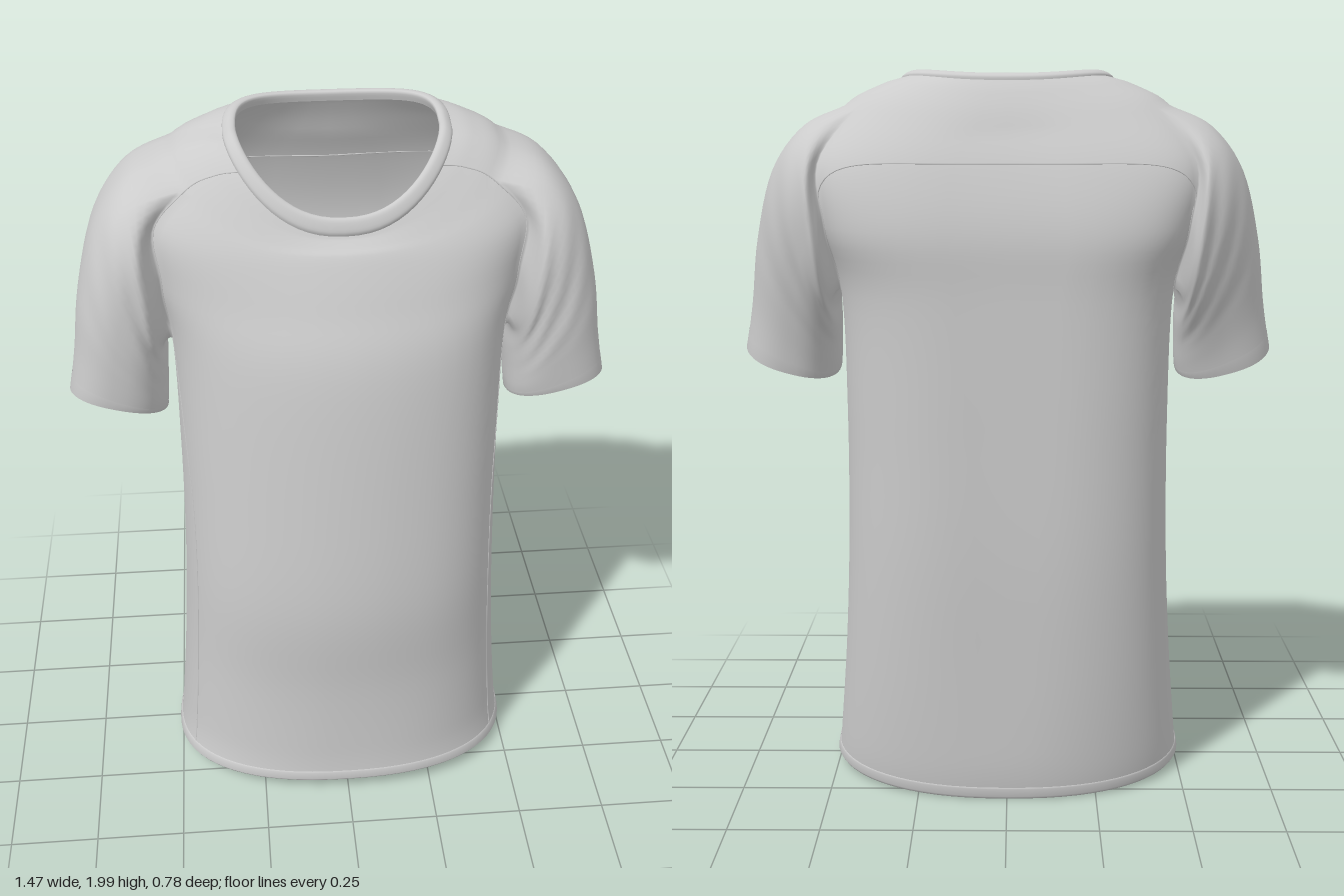
import * as THREE from 'three';

const COLS = 72, SUB = 6, ARM = 6;          // columns round the body, rows per key, half width of armhole
const ARM_LOW = 5, ARM_TOP = 8;             // key rows where the armhole starts and ends

// Body sections: y front, y side, y back, half width, z front, z back, z side, rear lift, rear squareness
const BODY = [
  [0.055, 0.032, 0.008, 0.503, 0.372, -0.312, 0.03, 0, 2.3],
  [0.15, 0.13, 0.11, 0.492, 0.366, -0.328, 0.01, 0, 2.4],
  [0.4, 0.39, 0.38, 0.47, 0.362, -0.352, 0, 0, 2.7],
  [0.7, 0.7, 0.7, 0.453, 0.376, -0.375, -0.01, 0, 2.9],
  [1.05, 1.07, 1.05, 0.446, 0.347, -0.385, -0.03, 0, 3],
  [1.4, 1.42, 1.4, 0.453, 0.304, -0.39, -0.05, 0, 3.2],
  [1.57, 1.6, 1.58, 0.5, 0.248, -0.392, -0.07, 0, 3.9],
  [1.68, 1.77, 1.74, 0.53, 0.205, -0.355, -0.08, 0, 3.6],
  [1.72, 1.898, 1.865, 0.435, 0.183, -0.3, -0.08, 0.01, 2.7],
  [1.738, 1.937, 1.935, 0.35, 0.172, -0.262, -0.055, 0.02, 2.4],
  [1.747, 1.945, 1.965, 0.29, 0.167, -0.242, -0.035, 0.025, 2.4],
];
const COLLAR = [
  [1.743, 1.943, 1.962, 0.291, 0.168, -0.243, -0.035, 0.025, 2.4],
  [1.757, 1.955, 1.974, 0.289, 0.172, -0.242, -0.035, 0.022, 2.4],
  [1.784, 1.967, 1.982, 0.272, 0.164, -0.228, -0.035, 0.02, 2.4],
  [1.788, 1.962, 1.978, 0.257, 0.152, -0.212, -0.035, 0.02, 2.4],
  [1.765, 1.94, 1.955, 0.264, 0.149, -0.216, -0.035, 0.02, 2.4],
];
// Sleeve sections: outer x, outer y, inner x, inner y, z front, z back, tilt of the front
const SLEEVE = [
  [0.545, 1.85, 0.468, 1.37, 0.165, -0.325, 0],
  [0.635, 1.735, 0.466, 1.315, 0.162, -0.28, 0.005],
  [0.688, 1.55, 0.468, 1.26, 0.157, -0.215, 0.01],
  [0.712, 1.38, 0.47, 1.21, 0.148, -0.17, 0.024],
  [0.735, 1.25, 0.474, 1.18, 0.14, -0.147, 0.034],
];

// Smooth interpolation through a list of equal-length arrays
function smooth(list, t) {
  const i = Math.min(Math.floor(t), list.length - 2), f = t - i;
  const at = (k) => list[Math.max(0, Math.min(list.length - 1, k))];
  const a = at(i - 1), b = at(i), c = at(i + 1), d = at(i + 2);
  return b.map((v, n) => v + 0.5 * f * (c[n] - a[n]
    + f * (2 * a[n] - 5 * v + 4 * c[n] - d[n] + f * (3 * (v - c[n]) + d[n] - a[n]))));
}

const signedPow = (v, e) => (Math.abs(v) < 1e-9 ? 0 : Math.sign(v) * Math.abs(v) ** e);

// Point on a body section; pinch draws the columns toward the side
function ringPoint([yf, ys, yb, hw, zf, zb, zc, lift, nb], col, pinch = 0) {
  const turn = (col / COLS) * Math.PI * 2, th = turn - pinch * 0.5 * Math.sin(2 * turn);
  const full = Math.max(0, Math.min(1, (nb - 2.4) / 0.6));
  const s = Math.sin(th), front = s >= 0, e = 2 / (front ? 2.3 + 0.3 * full : nb);
  const a = Math.abs(signedPow(s, e)), x = hw * signedPow(Math.cos(th), e);
  const y = ys + ((front ? yf : yb) - ys) * a ** (front ? 2 : 1.6) + (front ? 0 : lift * 4 * a * (1 - a));
  // slight ridge down the middle of the front, hollow down the spine
  const ridge = 0.013 * full * a * Math.exp(-((x / 0.14) ** 2));
  return [x, y, zc + ((front ? zf : zb) - zc) * a + ridge];
}

// Body surface: the armhole narrows to a point under the arm
const bodyPoint = (t, col) =>
  ringPoint(smooth(BODY, t), col, 0.65 * Math.exp(-(((t - ARM_LOW) / 0.9) ** 2)));

const ringOf = (key) => Array.from({ length: COLS }, (_, j) => ringPoint(key, j));

function sleevePoint([ox, oy, ix, iy, zf, zb, tilt], phi, side, scale = 1) {
  const c = signedPow(Math.cos(phi), 0.84) * scale, s = signedPow(Math.sin(phi), 0.84) * scale;
  return [side * ((ox + ix) / 2 + (ox - ix) / 2 * c),
    (oy + iy) / 2 + (oy - iy) / 2 * c + tilt * s,
    (zf + zb) / 2 + (zf - zb) / 2 * s];
}

function meshFrom(name, points, index) {
  const g = new THREE.BufferGeometry();
  g.setAttribute('position', new THREE.Float32BufferAttribute(points.flat(), 3));
  g.setIndex(index);
  g.computeVertexNormals();
  const m = new THREE.Mesh(g, new THREE.MeshStandardMaterial({ color: 0xcccccc, side: THREE.DoubleSide }));
  m.name = name;
  return m;
}

function quad(index, a, b, c, d, flip) {
  if (flip) index.push(a, c, b, b, c, d);
  else index.push(a, b, c, b, d, c);
}

// Closed rings joined into a band
function band(name, rings, flip) {
  const n = rings[0].length, index = [];
  for (let i = 0; i < rings.length - 1; i++) for (let j = 0; j < n; j++) {
    const k = (j + 1) % n;
    quad(index, i * n + j, i * n + k, (i + 1) * n + j, (i + 1) * n + k, flip);
  }
  return meshFrom(name, rings.flat(), index);
}

function seam(name, pts) {
  const curve = new THREE.CatmullRomCurve3(pts.map((p) => new THREE.Vector3(...p)));
  const m = new THREE.Mesh(new THREE.TubeGeometry(curve, pts.length * 2, 0.002, 5),
    new THREE.MeshStandardMaterial({ color: 0xcccccc }));
  m.name = name;
  return m;
}

export function createModel() {
  const shirt = new THREE.Group();
  shirt.name = 'tShirt';

  // Body cloth with an armhole left open on each side
  const points = [], index = [], rows = (BODY.length - 1) * SUB;
  const low = ARM_LOW * SUB, top = ARM_TOP * SUB;
  for (let i = 0; i <= rows; i++) for (let j = 0; j < COLS; j++) points.push(bodyPoint(i / SUB, j));
  const id = (i, j) => i * COLS + ((j % COLS) + COLS) % COLS;
  for (let i = 0; i < rows; i++) for (let j = 0; j < COLS; j++) {
    const fromSide = Math.abs(((j + 0.5 + COLS / 4) % (COLS / 2)) - COLS / 4);
    if (i >= low && i < top && fromSide < ARM) continue;
    quad(index, id(i, j), id(i, j + 1), id(i + 1, j), id(i + 1, j + 1), true);
  }

  // Sleeves grow out of the armhole edges, following the slope of the cloth beside each edge
  for (const side of [1, -1]) {
    const col = (c) => (side > 0 ? c : COLS / 2 - c);
    const half = (dir) => {
      const loop = [];
      const add = (i, c, di, dc) => loop.push({ v: id(i, col(dir * c)), beside: id(i + di, col(dir * (c + dc))) });
      for (let c = 0; c < ARM; c++) add(top, c, 5, 0);
      add(top, ARM, 3, 1);
      for (let i = top - 1; i > low; i--) add(i, ARM, 0, 2);
      for (let c = ARM; c >= 0; c--) add(low, c, -2, 0);
      let len = 0;
      const run = loop.map(({ v }, k) => (k ? (len += Math.hypot(...points[v].map((p, n) => p - points[loop[k - 1].v][n]))) : 0));
      return loop.map((l, k) => ({ ...l, phi: dir * Math.PI * run[k] / len }));
    };
    const loop = [...half(1), ...half(-1).reverse().slice(1, -1)];
    const n = loop.length, steps = SLEEVE.length * 6;
    let prev = loop.map((l) => l.v);
    for (let i = 1; i <= steps; i++) {
      const t = i / steps * SLEEVE.length;
      const ring = loop.map(({ v, beside, phi }) => {
        const p = smooth([points[beside], points[v], ...SLEEVE.map((k) => sleevePoint(k, phi, side))], t + 1);
        // soft gathers under the arm, fading toward the cuff
        const fold = 0.005 * Math.sin(t * 7 + Math.cos(phi) * 5) * Math.sin(phi) ** 2 * Math.sin(Math.PI * Math.min(1, t / 3.5));
        p[2] += fold * Math.sign(Math.sin(phi));
        return points.push(p) - 1;
      });
      for (let j = 0; j < n; j++) {
        const k = (j + 1) % n;
        quad(index, prev[j], prev[k], ring[j], ring[k], side < 0);
      }
      prev = ring;
    }

    // Turned cuff
    const cuff = [[3.55, 1.005], [3.98, 1.01], [4, 0.985], [3.6, 0.97]].map(([t, s]) =>
      Array.from({ length: 48 }, (_, j) => sleevePoint(smooth(SLEEVE, t), j / 24 * Math.PI, side, s)));
    shirt.add(band(side > 0 ? 'leftCuff' : 'rightCuff', cuff, side < 0));

    // Raglan seam at the front, side panel seam below the arm
    const line = (c, from, to) => Array.from({ length: to - from + 1 }, (_, k) => points[id(from + k, col(c))]);
    shirt.add(seam('frontSeam', line(ARM, low, rows)));
    shirt.add(seam('sideSeam', line(5, 2, low)));
  }
  shirt.add(meshFrom('bodyAndSleeves', points, index));

  // Arched yoke seam across the back, running down behind each arm
  const first = COLS / 2 + ARM, last = COLS - ARM, back = [];
  for (let t = ARM_LOW; t < 6.4; t += 0.2) back.push(bodyPoint(t, first));
  for (let j = first; j <= last; j++) {
    const u = 2 * (j - first) / (last - first) - 1;
    back.push(bodyPoint(7.1 - 0.6 * u ** 4, j));
  }
  for (let t = 6.3; t > ARM_LOW; t -= 0.2) back.push(bodyPoint(t, last));
  shirt.add(seam('backYokeSeam', back));

  // Flat neckband
  const collar = Array.from({ length: 17 }, (_, i) => ringOf(smooth(COLLAR, i / 4)));
  shirt.add(band('neckband', collar, true));

  // Turned bottom hem
  const hemKey = (t, grow, drop) => smooth(BODY, t).map((v, k) =>
    (k < 3 ? v - drop : k === 3 || k === 4 ? v + grow : k === 5 ? v - grow : v));
  const hem = [[0.45, 0.001, 0], [0.4, 0.004, 0], [0.04, 0.005, 0], [0, 0, 0.006], [0.04, -0.01, 0], [0.45, -0.008, 0]]
    .map((h) => ringOf(hemKey(...h)));
  shirt.add(band('bottomHem', hem, true));

  return shirt;
}
